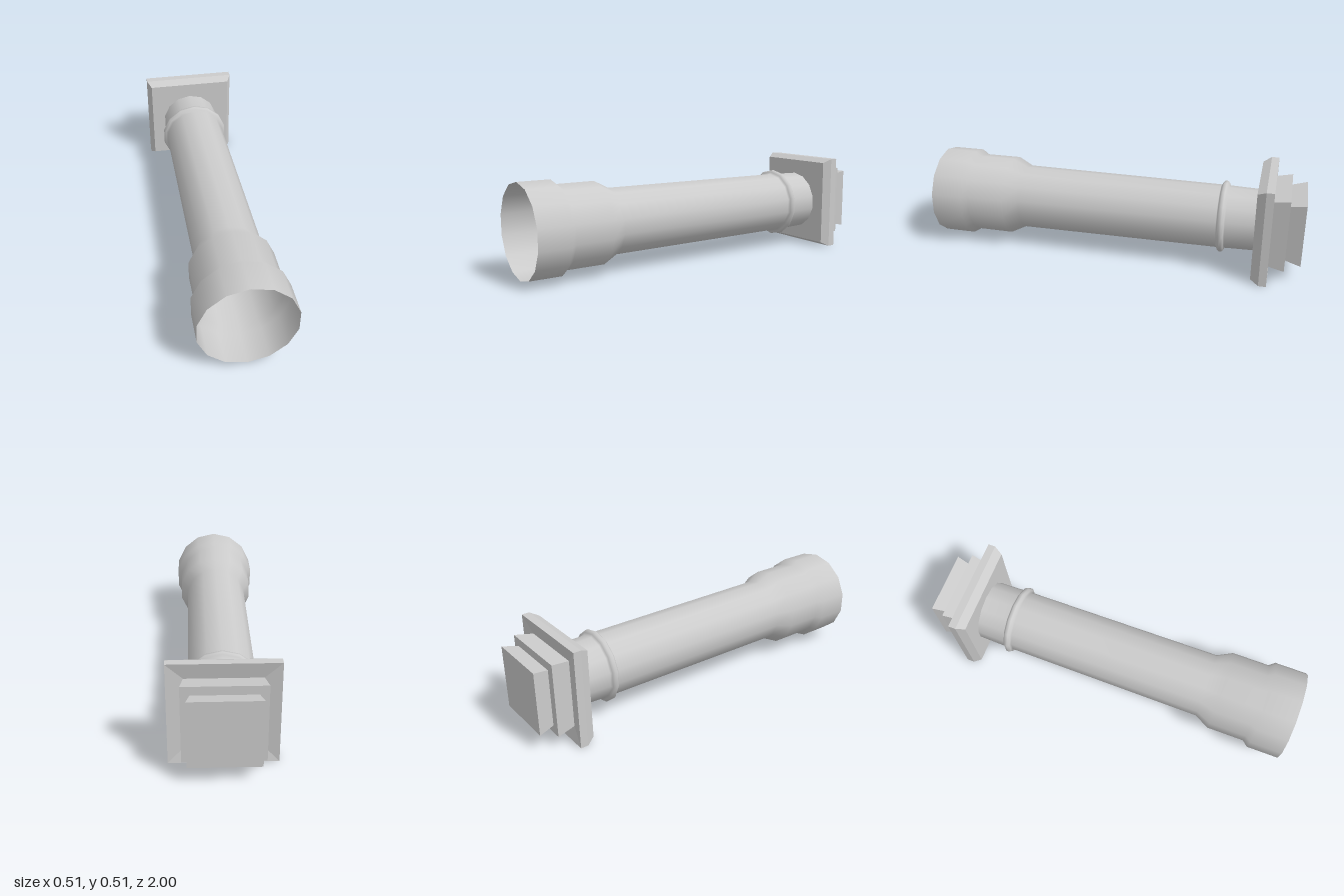
import * as THREE from 'three';

// Turns a [radius, z] profile around the z axis
function turned(profile, sides, phiStart, radiusScale = 1) {
  const points = profile.map(([r, z]) => new THREE.Vector2(r * radiusScale, z));
  return new THREE.LatheGeometry(points, sides, phiStart).rotateX(Math.PI / 2);
}

export function createModel() {
  const model = new THREE.Group();
  model.name = 'column';

  // Open hollow shaft with flared mouth and a neck ring
  const shaft = new THREE.Mesh(
    turned([
      [0.163, -0.757], [0.167, -0.604], [0.18, -0.598], [0.19, -0.588],
      [0.19, -0.574], [0.18, -0.564], [0.168, -0.558], [0.174, 0.52],
      [0.215, 0.6], [0.215, 0.8], [0.24, 0.83], [0.24, 1],
    ], 14, 0),
    new THREE.MeshStandardMaterial({ color: 0xcccccc, side: THREE.DoubleSide })
  );
  shaft.name = 'shaft';
  shaft.position.set(-0.002, 0.25, 0);
  model.add(shaft);

  // Square stepped base: a four-sided turning measured by half widths
  const base = new THREE.Mesh(
    turned([
      [0, -1], [0.167, -1], [0.15, -0.92], [0.193, -0.92], [0.178, -0.825],
      [0.257, -0.84], [0.257, -0.8], [0.235, -0.757], [0, -0.757],
    ], 4, Math.PI / 4, Math.SQRT2),
    new THREE.MeshStandardMaterial({ color: 0xcccccc, flatShading: true })
  );
  base.name = 'steppedBase';
  base.position.y = 0.257;
  model.add(base);

  return model;
}
